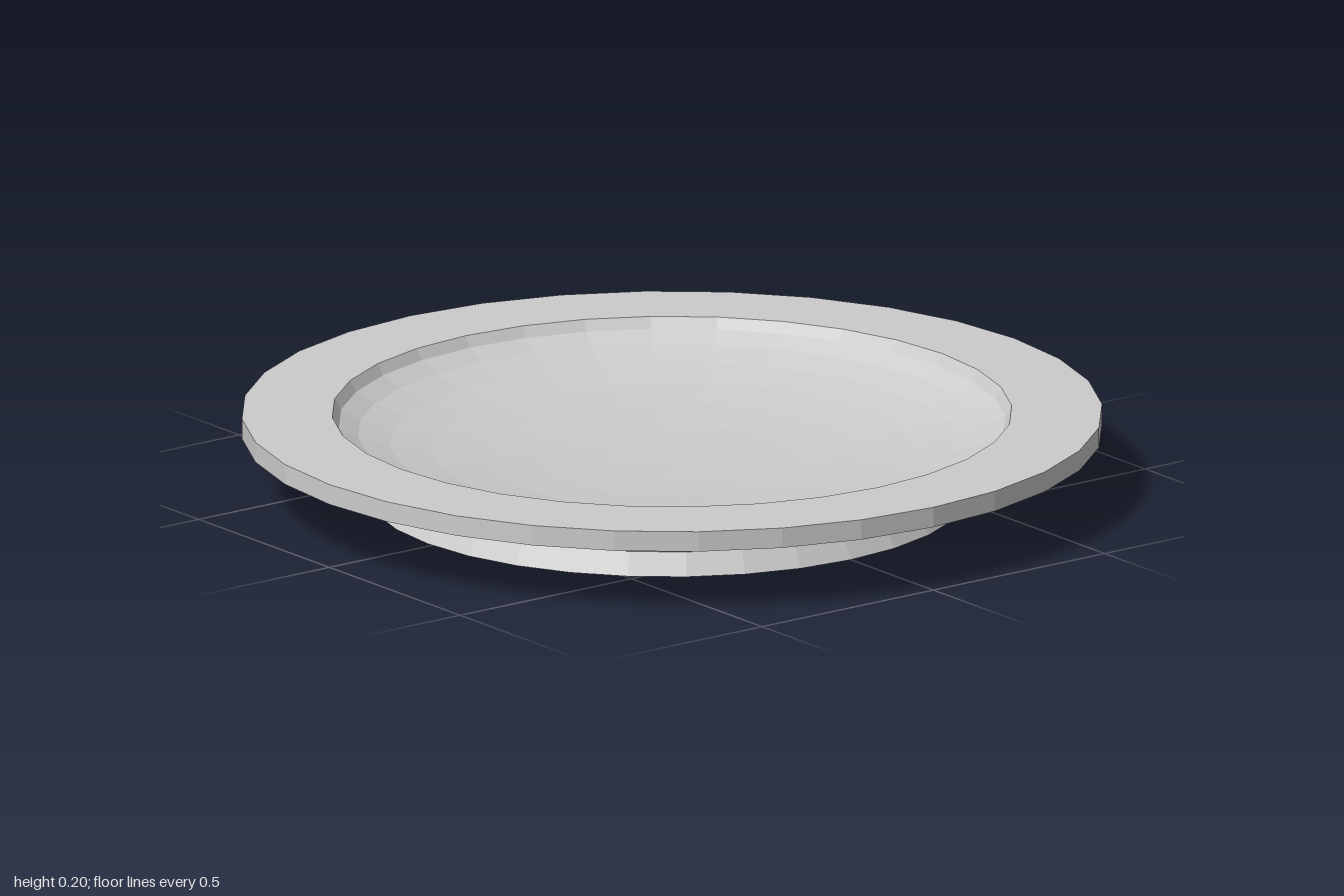
import * as THREE from 'three';

const SIDES = 32;

function turned(name, profile) {
  const points = profile.map(([r, y]) => new THREE.Vector2(r, y));
  const material = new THREE.MeshStandardMaterial({ color: 0xcccccc, flatShading: true });
  const mesh = new THREE.Mesh(new THREE.LatheGeometry(points, SIDES), material);
  mesh.name = name;
  return mesh;
}

export function createModel() {
  const dish = new THREE.Group();
  dish.name = 'dish';

  // Flat rim: underside, outer edge and top
  dish.add(turned('rim', [[0.77, 0.157], [0.9, 0.156], [1, 0.152], [1, 0.2], [0.79, 0.2]]));

  // Shallow bowl: a flattened half sphere
  const rings = 8, radius = 0.79, depth = 0.13;
  const bowl = [];
  for (let i = 0; i <= rings; i++) {
    const a = (i / rings) * Math.PI / 2;
    bowl.push([i === rings ? 0 : radius * Math.cos(a), 0.2 - depth * Math.sin(a)]);
  }
  dish.add(turned('bowl', bowl));

  // Waisted foot, very slightly off centre
  const foot = turned('foot', [[0, 0], [0.7, 0], [0.672, 0.052], [0.703, 0.11], [0.795, 0.157]]);
  foot.position.x = -0.016;
  dish.add(foot);

  return dish;
}
